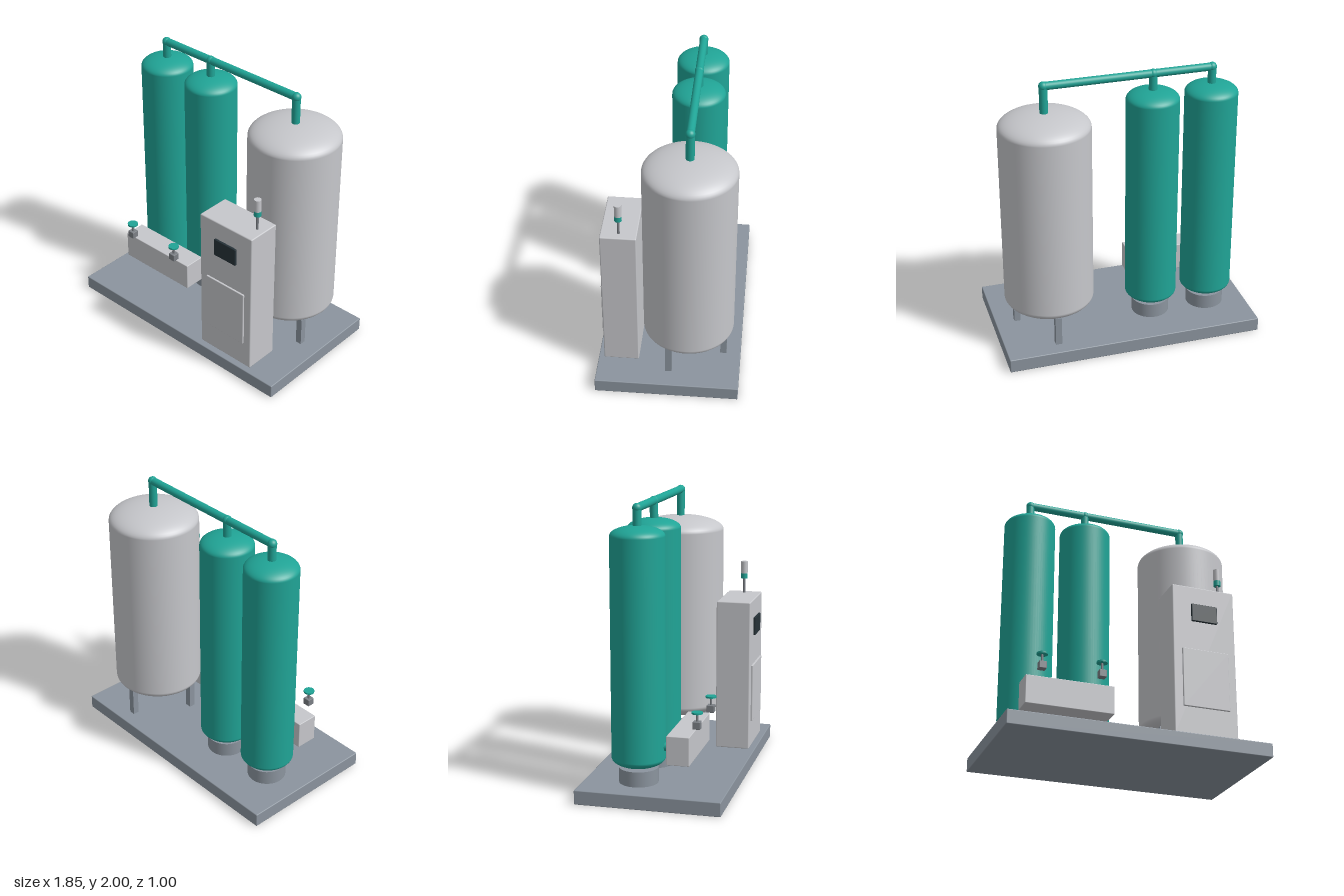
import * as THREE from 'three';
import { RoundedBoxGeometry } from 'three/addons/geometries/RoundedBoxGeometry.js';

const mat = (name, color) => {
  const m = new THREE.MeshStandardMaterial({ color });
  m.name = name;
  return m;
};

export function createModel() {
  const teal = mat('teal paint', 0x20a496);
  const light = mat('light grey paint', 0xc6c7cb);
  const slate = mat('slate frame', 0x8b949e);
  const steel = mat('steel', 0x7c8086);
  const dark = mat('dark glass', 0x263238);
  const model = new THREE.Group();
  model.name = 'gasPlantSkid';

  const add = (name, geo, material, x, y, z) => {
    const m = new THREE.Mesh(geo, material);
    m.name = name;
    m.position.set(x, y, z);
    model.add(m);
    return m;
  };
  const box = (name, material, w, h, d, x, y, z, r = 0) =>
    add(name, r ? new RoundedBoxGeometry(w, h, d, 2, r) : new THREE.BoxGeometry(w, h, d), material, x, y, z);
  // Upright cylinder between two heights
  const post = (name, material, r, y0, y1, x, z, sides = 32) =>
    add(name, new THREE.CylinderGeometry(r, r, y1 - y0, sides), material, x, (y0 + y1) / 2, z);
  // Pressure vessel with elliptical end caps
  const vessel = (name, material, r, y0, y1, dome, x, z) => {
    const pts = [], n = 14;
    for (let i = 0; i <= n; i++) {
      const a = (i / n) * Math.PI / 2;
      pts.push(new THREE.Vector2(r * Math.sin(a), y0 + dome * (1 - Math.cos(a))));
    }
    for (let i = n; i >= 0; i--) {
      const a = (i / n) * Math.PI / 2;
      pts.push(new THREE.Vector2(r * Math.sin(a), y1 - dome * (1 - Math.cos(a))));
    }
    return add(name, new THREE.LatheGeometry(pts, 64), material, x, 0, z);
  };

  const Z = -0.13, TOWERS = [-0.635, -0.213], TANK = 0.548, PIPE_Y = 1.968;

  // Skid base
  box('skidBase', slate, 1.85, 0.1, 1.005, 0, 0.05, 0, 0.006);

  // Adsorber towers with plinths, outlet pipes and manifold valves
  for (const x of TOWERS) {
    post('towerPlinth', slate, 0.135, 0.1, 0.206, x, Z, 48);
    vessel('tower', teal, 0.185, 0.208, 1.853, 0.07, x, Z);
    post('towerOutlet', teal, 0.029, 1.83, PIPE_Y, x, Z, 24);
    add('pipeJoint', new THREE.SphereGeometry(0.032, 24, 16), teal, x, PIPE_Y, Z);

    const stub = post('manifoldStub', teal, 0.029, 0, 0.12, x, 0.06, 24);
    stub.rotation.x = Math.PI / 2;
    stub.position.y = 0.36;

    box('valveBody', steel, 0.052, 0.052, 0.052, x, 0.526, 0.276, 0.004);
    post('valveStem', steel, 0.008, 0.545, 0.61, x, 0.276, 12);
    post('valveHandwheel', teal, 0.038, 0.605, 0.617, x, 0.276, 24);
  }
  box('manifoldBox', light, 0.625, 0.202, 0.158, -0.423, 0.363, 0.166, 0.005);

  // Storage tank on three legs
  vessel('storageTank', light, 0.318, 0.27, 1.778, 0.105, TANK, Z);
  for (let i = 0; i < 3; i++) {
    const a = Math.PI / 6 + i * Math.PI * 2 / 3;
    box('tankLeg', slate, 0.045, 0.22, 0.045, TANK + 0.25 * Math.cos(a), 0.205, Z + 0.25 * Math.sin(a));
  }
  post('tankOutlet', teal, 0.029, 1.75, PIPE_Y, TANK, Z, 24);
  add('pipeJoint', new THREE.SphereGeometry(0.032, 24, 16), teal, TANK, PIPE_Y, Z);

  // Header pipe joining all the vessels
  const length = TANK - TOWERS[0];
  const header = post('headerPipe', teal, 0.028, 0, length, (TANK + TOWERS[0]) / 2, Z, 24);
  header.rotation.z = Math.PI / 2;
  header.position.y = PIPE_Y;

  // Control cabinet with door and screen
  box('controlCabinet', light, 0.46, 1.095, 0.248, 0.462, 0.6525, 0.338, 0.008);
  box('cabinetDoor', light, 0.338, 0.422, 0.02, 0.465, 0.511, 0.465, 0.004);
  box('cabinetScreen', dark, 0.19, 0.13, 0.02, 0.465, 1, 0.467, 0.004);

  // Signal beacon
  post('beaconPole', steel, 0.009, 1.19, 1.31, 0.632, 0.338, 16);
  post('beaconLampLower', teal, 0.025, 1.308, 1.346, 0.632, 0.338, 24);
  post('beaconLampUpper', light, 0.025, 1.346, 1.435, 0.632, 0.338, 24);

  return model;
}
